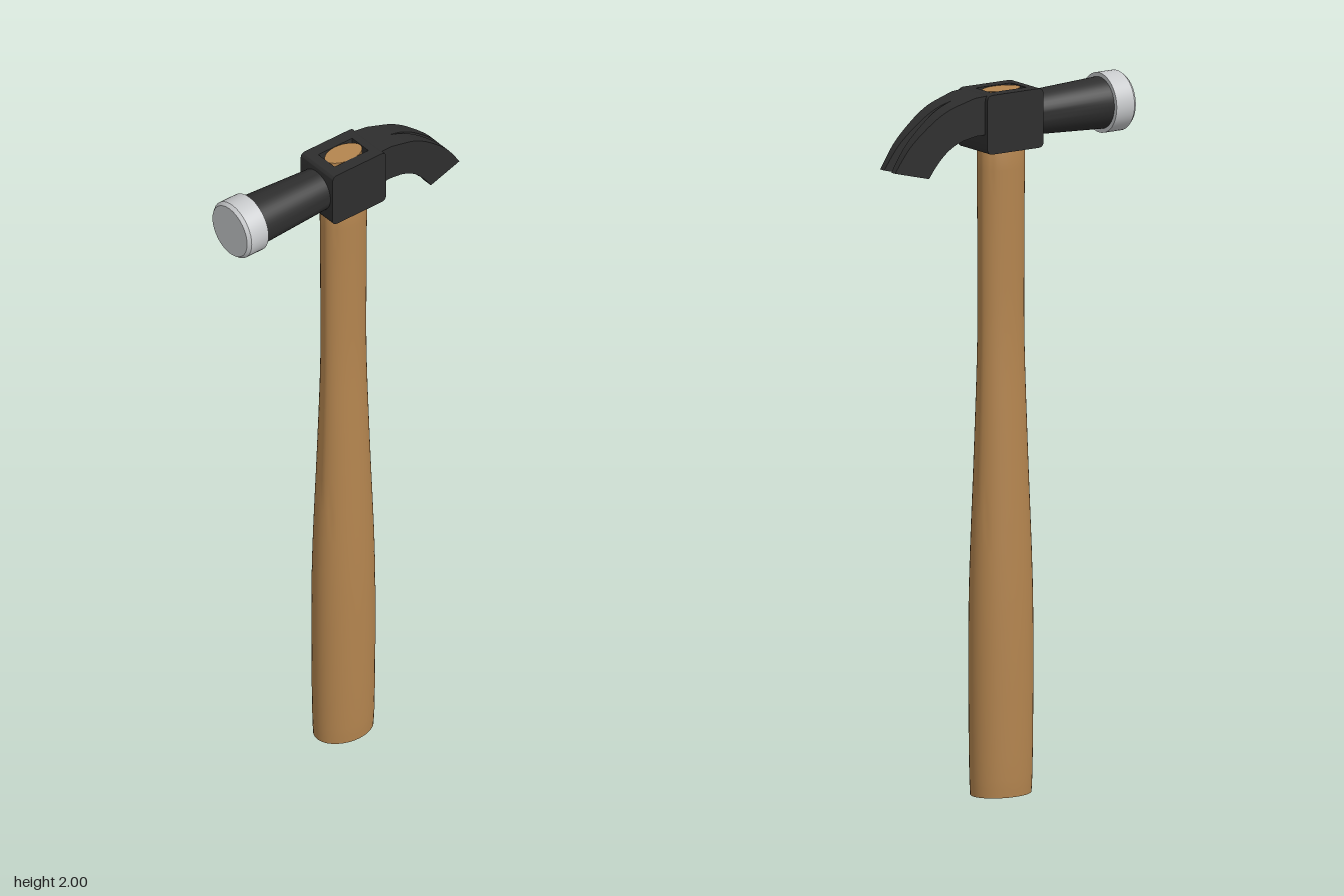
import * as THREE from 'three';
import { toCreasedNormals } from 'three/addons/utils/BufferGeometryUtils.js';

const material = (name, color) => {
  const m = new THREE.MeshStandardMaterial({ color });
  m.name = name;
  return m;
};
const V = (x, y) => new THREE.Vector2(x, y);
const CX = 0.008; // centre line of the handle and eye
const AXIS_Y = 1.917; // centre line of the striking end

// Side profile extruded between two z limits that may vary with x
function extrudeBetween(shape, zLow, zHigh) {
  const g = new THREE.ExtrudeGeometry(shape, { depth: 1, bevelEnabled: false, curveSegments: 10 });
  const p = g.attributes.position;
  for (let i = 0; i < p.count; i++) {
    const x = p.getX(i);
    p.setZ(i, THREE.MathUtils.lerp(zLow(x), zHigh(x), p.getZ(i)));
  }
  return toCreasedNormals(g, 0.5);
}

// Oval wooden handle, lofted through [y, half width, half depth]
function handleGeometry() {
  const keys = [[0, 0.092, 0.069], [0.05, 0.094, 0.072], [0.35, 0.097, 0.075], [0.6, 0.095, 0.073],
    [1.0, 0.08, 0.06], [1.3, 0.072, 0.049], [1.55, 0.072, 0.049], [1.85, 0.073, 0.053]];
  const curve = new THREE.CatmullRomCurve3(keys.map(([y, a, b]) => new THREE.Vector3(a, y, b)));
  const rings = curve.getPoints(28).map((v) => [v.y, v.x, v.z]);
  // tenon that narrows to fit the eye of the head
  rings.push([1.91, 0.06, 0.036], [1.998, 0.06, 0.036]);
  rings.unshift([0, 0, 0]);
  rings.push([1.998, 0, 0]);
  const g = new THREE.LatheGeometry(rings.map(([y]) => V(1, y)), 40);
  const p = g.attributes.position;
  for (let i = 0; i < p.count; i++) {
    const [, a, b] = rings[i % rings.length];
    p.setX(i, p.getX(i) * a);
    p.setZ(i, p.getZ(i) * b);
  }
  return toCreasedNormals(g, 0.6);
}

// Rectangle with chosen corner radii on its left and right ends
function blockShape(x0, x1, rLeft, rRight) {
  const y0 = 1.832, y1 = 2;
  const s = new THREE.Shape();
  s.moveTo(x0 + rLeft, y0);
  s.lineTo(x1 - rRight, y0);
  if (rRight) s.quadraticCurveTo(x1, y0, x1, y0 + rRight);
  s.lineTo(x1, y1 - rRight);
  if (rRight) s.quadraticCurveTo(x1, y1, x1 - rRight, y1);
  s.lineTo(x0 + rLeft, y1);
  if (rLeft) s.quadraticCurveTo(x0, y1, x0, y1 - rLeft);
  s.lineTo(x0, y0 + rLeft);
  if (rLeft) s.quadraticCurveTo(x0, y0, x0 + rLeft, y0);
  return s;
}

export function createModel() {
  const wood = material('wood', 0xb4854f);
  const iron = material('blackIron', 0x2e2e2e);
  const steel = material('brightSteel', 0xc8cacc);
  const model = new THREE.Group();
  model.name = 'clawHammer';
  const head = new THREE.Group();
  head.name = 'head';
  model.add(head);
  const add = (parent, name, geometry, mat) => {
    const m = new THREE.Mesh(geometry, mat);
    m.name = name;
    parent.add(m);
    return m;
  };

  add(model, 'handle', handleGeometry(), wood).position.x = CX;

  // Eye block: two cheeks and two end walls around a rectangular hole
  const eyeX = 0.06, eyeZ = 0.036, outX = 0.095, outZ = 0.071, r = 0.018;
  const cheek = blockShape(CX - outX, CX + outX, r, r);
  add(head, 'leftCheek', extrudeBetween(cheek, () => eyeZ, () => outZ), iron);
  add(head, 'rightCheek', extrudeBetween(cheek, () => -outZ, () => -eyeZ), iron);
  add(head, 'neckSideWall',
    extrudeBetween(blockShape(CX - outX, CX - eyeX, r, 0), () => -eyeZ, () => eyeZ), iron);
  add(head, 'clawSideWall',
    extrudeBetween(blockShape(CX + eyeX, CX + outX, 0, r), () => -eyeZ, () => eyeZ), iron);

  // Tapered neck and chamfered striking face, turned about the x axis
  const turned = (name, points, mat) => {
    const g = toCreasedNormals(new THREE.LatheGeometry(points, 40), 0.5);
    g.rotateZ(-Math.PI / 2);
    g.translate(0, AXIS_Y, 0);
    add(head, name, g, mat);
  };
  turned('neck', [V(0, -0.34), V(0.074, -0.34), V(0.061, -0.075), V(0, -0.075)], iron);
  turned('strikingFace',
    [V(0, -0.395), V(0.077, -0.395), V(0.085, -0.385), V(0.085, -0.325), V(0, -0.325)], steel);

  // Claw: solid root, then two curved prongs either side of a V notch
  const split = 0.17;
  const outer = (x) => 0.06 - (x - 0.1) * 0.083;
  const notch = (x) => Math.max(0, x - split) * 0.077;
  const root = new THREE.Shape([V(0.09, 1.888), V(0.13, 1.887), V(split, 1.879),
    V(split, 1.985), V(0.135, 1.995), V(0.09, 1.998)]);
  add(head, 'clawRoot', extrudeBetween(root, (x) => -outer(x), outer), iron);

  const prong = new THREE.Shape();
  prong.moveTo(split, 1.879);
  prong.splineThru([V(0.2, 1.867), V(0.228, 1.848), V(0.257, 1.818), V(0.283, 1.782)]);
  prong.lineTo(0.392, 1.809);
  prong.splineThru([V(0.342, 1.878), V(0.275, 1.936), V(0.222, 1.968), V(split, 1.985)]);
  add(head, 'leftProng', extrudeBetween(prong, notch, outer), iron);
  add(head, 'rightProng', extrudeBetween(prong, (x) => -outer(x), (x) => -notch(x)), iron);

  return model;
}
